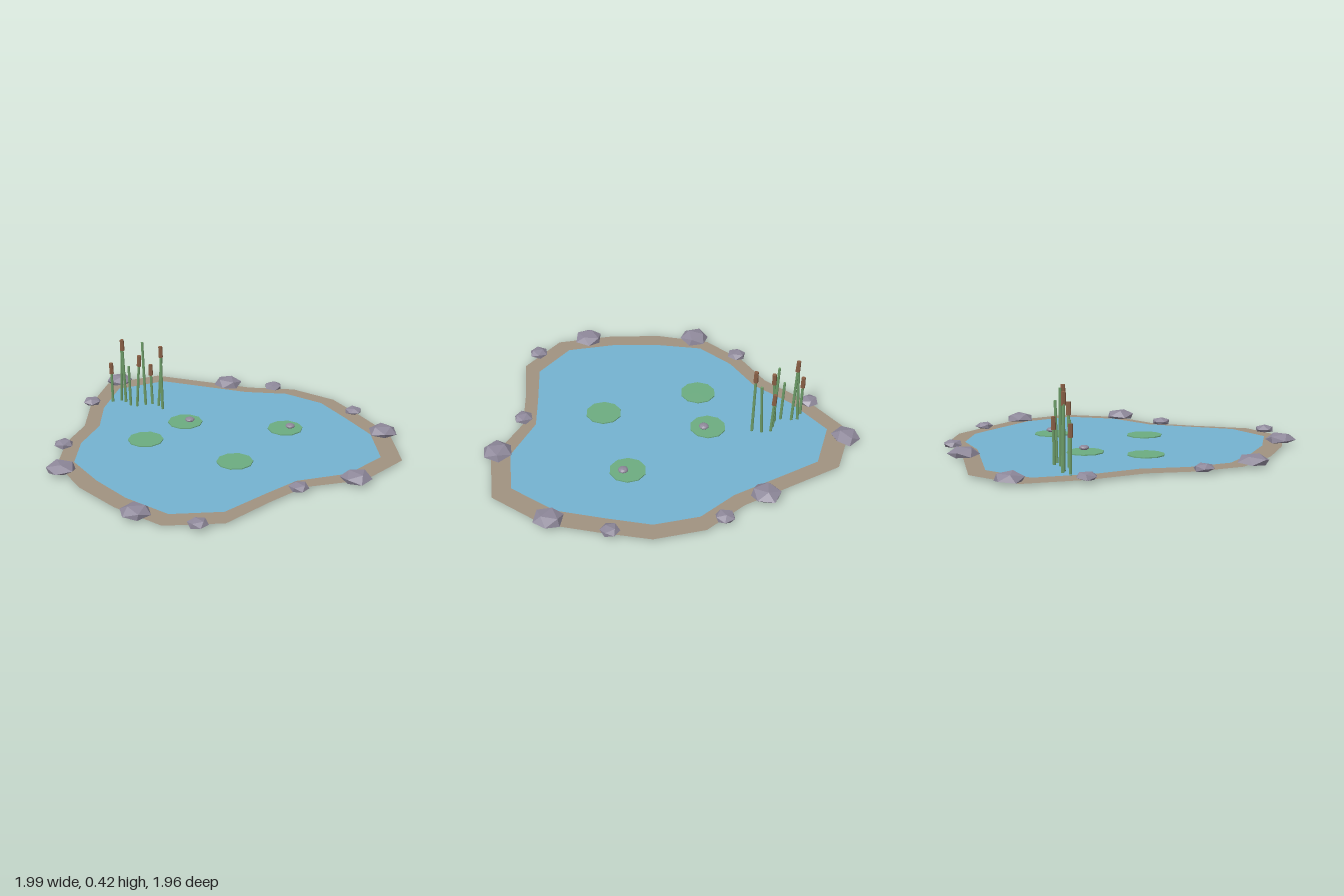
import * as THREE from 'three';

const mat = (name, color, side = THREE.FrontSide) => {
  const m = new THREE.MeshStandardMaterial({ color, side, flatShading: true });
  m.name = name;
  return m;
};

// outlines as [x, z]
const BANK = [[-0.69, -0.945], [-0.07, -0.9], [0.21, -0.94], [0.48, -0.84], [0.68, -0.64],
  [0.885, -0.42], [1, -0.09], [0.84, 0.2], [0.54, 0.365], [0.4, 0.575], [0.235, 0.855],
  [-0.07, 0.96], [-0.365, 0.835], [-0.62, 0.67], [-0.835, 0.44], [-0.89, 0.16],
  [-0.87, -0.085], [-0.945, -0.4], [-0.955, -0.74]];
const WATER = [[-0.62, -0.85], [-0.07, -0.81], [0.18, -0.845], [0.42, -0.755], [0.6, -0.57],
  [0.78, -0.375], [0.88, -0.09], [0.74, 0.16], [0.485, 0.315], [0.36, 0.5], [0.2, 0.75],
  [-0.07, 0.845], [-0.34, 0.73], [-0.555, 0.58], [-0.75, 0.4], [-0.8, 0.16],
  [-0.78, -0.095], [-0.845, -0.35], [-0.855, -0.66]];
// shore stones as [x, z, radius]
const ROCKS = [[-0.21, -0.905, 0.088], [0.08, -0.925, 0.058], [0.63, -0.67, 0.054], [0.845, -0.415, 0.086],
  [0.79, 0.215, 0.089], [0.515, 0.4, 0.057], [0.105, 0.915, 0.057], [-0.235, 0.88, 0.087],
  [-0.785, 0.51, 0.089], [-0.885, 0.21, 0.058], [-0.94, -0.405, 0.058], [-0.89, -0.775, 0.083]];
const PADS = [[-0.305, -0.265], [0.285, -0.325], [-0.455, 0.03], [0.11, 0.18]];
const BUDS = [[-0.277, -0.265], [0.315, -0.325]];
// reeds as [base x, base z, top x, top z, height, has head]
const REEDS = [[-0.825, -0.46, -0.828, -0.46, 0.27, 1], [-0.745, -0.475, -0.762, -0.48, 0.42, 1],
  [-0.78, -0.49, -0.765, -0.48, 0.36, 0], [-0.7, -0.433, -0.708, -0.437, 0.27, 0],
  [-0.66, -0.43, -0.635, -0.427, 0.35, 1], [-0.615, -0.465, -0.63, -0.47, 0.42, 0],
  [-0.58, -0.49, -0.59, -0.497, 0.27, 1], [-0.535, -0.468, -0.51, -0.47, 0.34, 0],
  [-0.495, -0.427, -0.502, -0.427, 0.42, 1]];

let seed = 11;
const rand = () => (seed = (seed * 16807) % 2147483647) / 2147483647;

const flat = (points, y) => {
  const shape = new THREE.Shape(points.map(([x, z]) => new THREE.Vector2(x, -z)));
  return new THREE.ShapeGeometry(shape).rotateX(-Math.PI / 2).translate(0, y, 0);
};

// flattened, turned stone with a level underside
function stone(r) {
  const g = new THREE.IcosahedronGeometry(r, 0);
  g.rotateX(0.35 + rand() * 0.5).rotateZ(rand() * 0.6).rotateY(rand() * 6.28);
  const p = g.attributes.position;
  for (let i = 0; i < p.count; i++) p.setY(i, Math.max(p.getY(i) * 0.47, -0.014));
  g.computeVertexNormals();
  return g;
}

export function createModel() {
  const model = new THREE.Group();
  model.name = 'pond';
  const bankMat = mat('earth', 0xa09280, THREE.DoubleSide);
  const waterMat = mat('water', 0x74b2d0);
  const padMat = mat('lily green', 0x6cab80);
  const stoneMat = mat('stone', 0x8e889a);
  const stemMat = mat('reed green', 0x6d9c68);
  const headMat = mat('reed brown', 0x8a6046);

  const add = (name, geometry, material, x = 0, y = 0, z = 0) => {
    const m = new THREE.Mesh(geometry, material);
    m.name = name;
    m.position.set(x, y, z);
    model.add(m);
    return m;
  };

  add('bank', flat(BANK, 0.012), bankMat);
  add('water', flat(WATER, 0.018), waterMat);
  for (const [x, z, r] of ROCKS) add('shoreStone', stone(r), stoneMat, x, 0.027, z);
  for (const [x, z] of PADS) add('lilyPad', new THREE.CylinderGeometry(0.102, 0.102, 0.006, 10), padMat, x, 0.024, z);
  for (const [x, z] of BUDS) {
    add('lilyBud', new THREE.IcosahedronGeometry(0.028, 1).scale(1, 0.5, 1), stoneMat, x, 0.042, z);
  }

  // a rod between two points, used for stems and heads
  const rod = (name, a, b, r, material) => {
    const d = b.clone().sub(a);
    const mid = a.clone().add(b).multiplyScalar(0.5);
    const m = add(name, new THREE.CylinderGeometry(r * 0.9, r, d.length(), 6), material, mid.x, mid.y, mid.z);
    m.quaternion.setFromUnitVectors(new THREE.Vector3(0, 1, 0), d.normalize());
  };
  for (const [bx, bz, tx, tz, h, head] of REEDS) {
    const base = new THREE.Vector3(bx, 0, bz);
    const top = new THREE.Vector3(tx, h, tz);
    const neck = base.clone().lerp(top, 1 - 0.068 / h);
    rod('reedStem', base, head ? neck : top, 0.0085, stemMat);
    if (head) rod('reedHead', neck, top, 0.0135, headMat);
  }
  return model;
}
